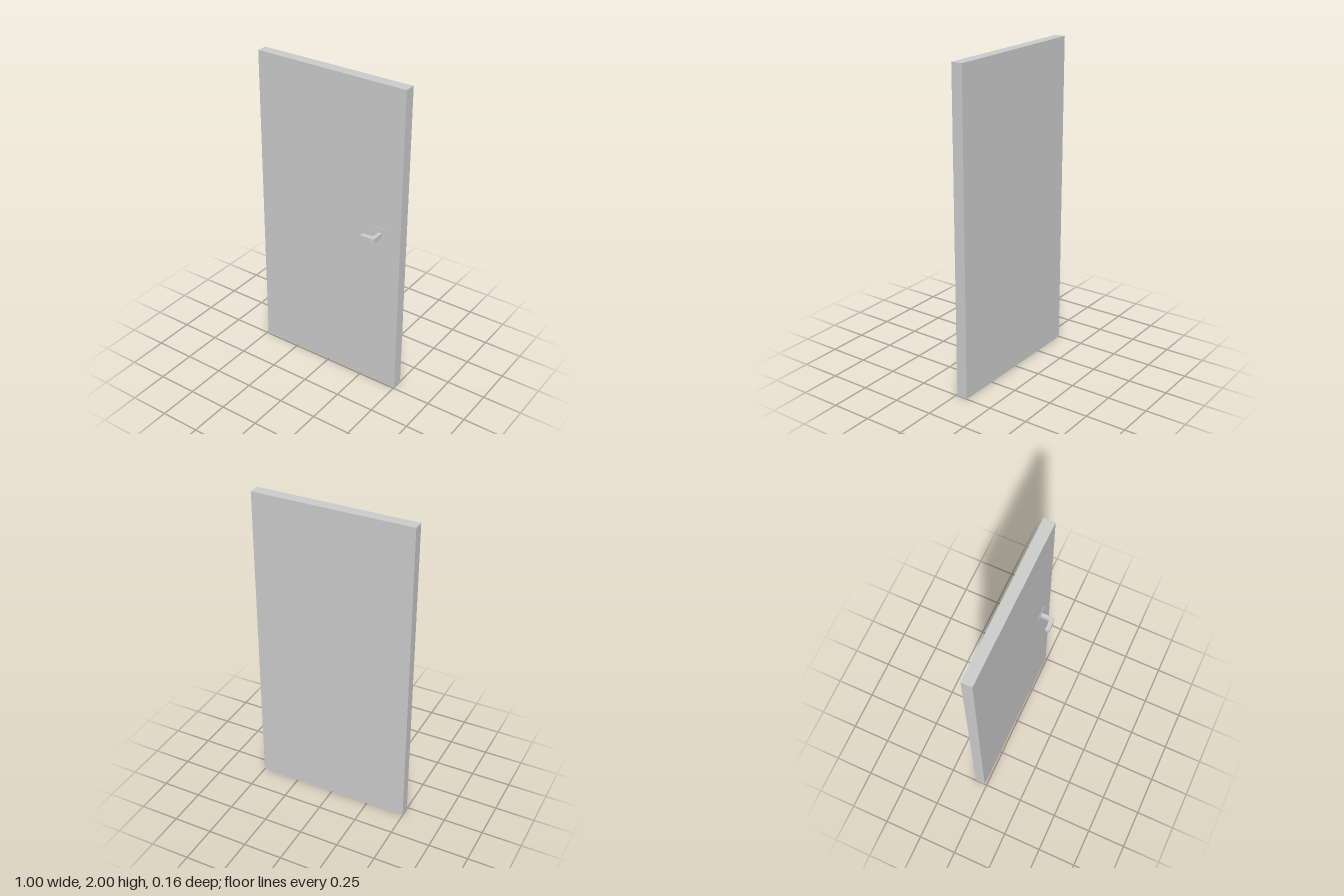
import * as THREE from 'three';

const material = new THREE.MeshStandardMaterial({ color: 0xcccccc, flatShading: true });

// Upright prism from a plan outline of [x, z] points, between two heights
function prism(name, plan, bottom, top) {
  const shape = new THREE.Shape(plan.map(([x, z]) => new THREE.Vector2(x, z)));
  const geometry = new THREE.ExtrudeGeometry(shape, { depth: top - bottom, bevelEnabled: false });
  geometry.rotateX(Math.PI / 2).translate(0, top, 0);
  const mesh = new THREE.Mesh(geometry, material);
  mesh.name = name;
  return mesh;
}

export function createModel() {
  const door = new THREE.Group();
  door.name = 'door';

  // Slab, its front face very slightly out of parallel
  door.add(prism('doorPanel', [[-0.5, -0.079], [0.5, -0.079], [0.5, -0.009], [-0.5, -0.014]], 0, 2));

  // Handle: square backplate, then stem and lever in one bent bar
  const handle = new THREE.Group();
  handle.name = 'handle';
  handle.add(prism('backplate', [[0.319, -0.012], [0.408, -0.012], [0.408, -0.006], [0.319, -0.007]], 1.023, 1.113));
  handle.add(prism('lever', [
    [0.352, -0.007], [0.376, -0.007], [0.376, 0.075],
    [0.345, 0.079], [0.285, 0.079], [0.285, 0.053], [0.32, 0.053], [0.352, 0.05],
  ], 1.053, 1.081));
  door.add(handle);

  return door;
}
